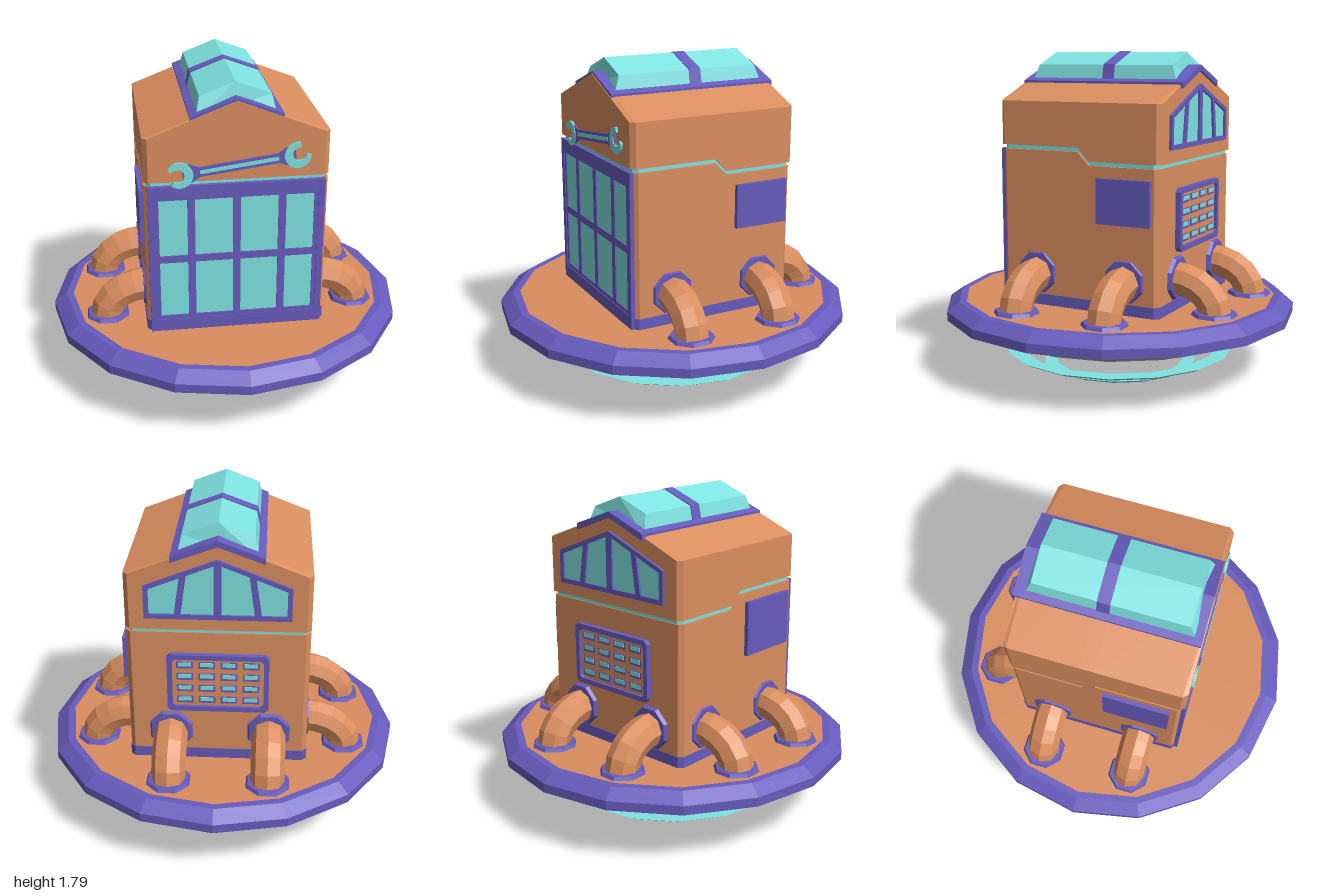
import * as THREE from 'three';

const mat = (color, extra = {}) => new THREE.MeshStandardMaterial({ color, flatShading: true, ...extra });

export function createModel() {
  const model = new THREE.Group();
  const orange = mat(0xdb8e5f), purple = mat(0x675bbd), teal = mat(0x7fe3e1);
  const hullMat = mat(0xdb8e5f, { flatShading: false });

  const add = (name, geo, material, parent = model) => {
    const mesh = new THREE.Mesh(geo, material);
    mesh.name = name;
    parent.add(mesh);
    return mesh;
  };
  const poly = (pts) => new THREE.Shape(pts.map(([x, y]) => new THREE.Vector2(x, y)));
  const rect = (x0, x1, y0, y1) => poly([[x0, y0], [x1, y0], [x1, y1], [x0, y1]]);
  // Flat plate between two z values, with optional holes
  const plate = (shape, z0, z1, holes = []) => {
    shape.holes = holes;
    return new THREE.ExtrudeGeometry(shape, { depth: z1 - z0, bevelEnabled: false, curveSegments: 10 }).translate(0, 0, z0);
  };
  const box = (x0, x1, y0, y1, z0, z1) =>
    new THREE.BoxGeometry(x1 - x0, y1 - y0, z1 - z0).translate((x0 + x1) / 2, (y0 + y1) / 2, (z0 + z1) / 2);
  const lathe = (pts) => new THREE.LatheGeometry(pts.map(([r, y]) => new THREE.Vector2(r, y)), 16);

  // Saucer base
  add('hull', lathe([[0, 0.115], [0.12, 0.12], [0.48, 0.168], [0.74, 0.23], [1, 0.32]]), hullMat);
  add('rim', lathe([[1, 0.32], [1, 0.37], [0.93, 0.42], [0.89, 0.42]]), purple);
  add('deck', lathe([[0.89, 0.42], [0, 0.42]]), orange);

  // Rings under the hull: inner radius, outer radius, height
  for (const [ri, ro, y, h] of [[0.7, 0.76, 0.222, 0.016], [0.57, 0.66, 0.088, 0.017], [0.37, 0.445, 0, 0.017]]) {
    add('hoverRing', lathe([[ri + 0.01, y], [ro - 0.03, y], [ro, y + h], [ri, y + h], [ri + 0.01, y]]), teal);
  }

  // House storey: section swept along z, chamfered corners, stepped seam towards the back
  const storey = (pts, half, width = 1) => {
    const stations = [-half, 0.025 - half, -0.07, 0, half - 0.025, half];
    const geo = new THREE.ExtrudeGeometry(poly(pts), { depth: 5, steps: 5, bevelEnabled: false });
    const p = geo.attributes.position;
    for (let i = 0; i < p.count; i++) {
      const k = Math.round(p.getZ(i)), y = p.getY(i);
      p.setZ(i, stations[k]);
      p.setX(i, p.getX(i) * width * (k === 0 || k === 5 ? 0.95 : 1));
      if (k <= 2 && y > 1.2 && y < 1.4) p.setY(i, y - 0.07);
    }
    geo.computeVertexNormals();
    return geo;
  };
  const W = 0.483;
  const block = (y0, y1) => [[-W, y0], [W, y0], [W, y1], [-W, y1]];
  add('walls', storey(block(0.42, 1.27), 0.472), orange);
  add('baseTrim', storey(block(0.42, 0.48), 0.475, 1.006), purple);
  add('seamBand', storey(block(1.255, 1.31), 0.466, 0.975), teal);
  add('gableRoof', storey([[-W, 1.292], [W, 1.292], [W, 1.53], [0, 1.71], [-W, 1.53]], 0.483), orange);

  // Skylight with sloped ends
  add('skylightFrame', plate(poly([[-0.24, 1.6], [0, 1.69], [0.24, 1.6], [0.24, 1.633], [0, 1.722], [-0.24, 1.633]]), -0.495, 0.479), purple);
  const skySection = (s = 0) => poly([[-0.21 - s, 1.61], [0.21 + s, 1.61], [0.185 + s, 1.72 + s], [0, 1.79 + s], [-0.185 - s, 1.72 + s]]);
  const sky = plate(skySection(), -0.45, 0.45);
  const sp = sky.attributes.position;
  for (let i = 0; i < sp.count; i++) if (sp.getY(i) > 1.7) sp.setZ(i, Math.sign(sp.getZ(i)) * 0.41);
  sky.computeVertexNormals();
  add('skylight', sky, teal);
  add('skylightBand', plate(skySection(0.004), -0.068, 0), purple);

  // Large front window
  const front = new THREE.Group();
  front.name = 'frontWindow';
  model.add(front);
  add('outerFrame', plate(rect(-0.465, 0.465, 0.42, 1.27), 0.46, 0.488, [rect(-0.43, 0.43, 0.49, 1.21)]), purple, front);
  const panes = [];
  for (const [x0, x1] of [[-0.41, -0.26], [-0.22, -0.02], [0.02, 0.22], [0.26, 0.41]])
    for (const [y0, y1] of [[0.51, 0.83], [0.87, 1.19]]) panes.push(rect(x0, x1, y0, y1));
  add('mullions', plate(rect(-0.435, 0.435, 0.485, 1.215), 0.46, 0.483, panes), purple, front);
  add('glass', box(-0.42, 0.42, 0.5, 1.2, 0.46, 0.476), teal, front);

  // Gable window at the back
  const gable = new THREE.Group();
  gable.name = 'gableWindow';
  model.add(gable);
  const outline = (d) => poly([[-0.38 + d, 1.29 + d], [0.38 - d, 1.29 + d], [0.38 - d, 1.47 - d], [0, 1.62 - d], [-0.38 + d, 1.47 - d]]);
  const topY = (x) => 1.597 - Math.abs(x) * 0.4;
  const gaps = [];
  for (const s of [-1, 1])
    for (const [a, b, c, d] of [[0.02, 0.19, 0.16, 0.02], [0.225, 0.355, 0.355, 0.195]])
      gaps.push(poly([[s * a, 1.315], [s * b, 1.315], [s * c, topY(c)], [s * d, topY(d)]]));
  add('gableFrame', plate(outline(0), -0.499, -0.47, gaps), purple, gable);
  add('gableGlass', plate(outline(0.015), -0.488, -0.47), teal, gable);

  // Vent panel at the back
  const vent = new THREE.Group();
  vent.name = 'ventPanel';
  model.add(vent);
  const octRect = (w, h, c) => poly([[-w + c, -h], [w - c, -h], [w, -h + c], [w, h - c], [w - c, h], [-w + c, h], [-w, h - c], [-w, -h + c]]);
  add('ventFrame', plate(octRect(0.27, 0.17, 0.02), -0.502, -0.46, [octRect(0.243, 0.143, 0.015)]), purple, vent);
  add('ventPlate', plate(octRect(0.255, 0.155, 0.015), -0.485, -0.46), orange, vent);
  for (let i = 0; i < 4; i++)
    for (let j = 0; j < 4; j++) {
      const x = (i - 1.5) * 0.117, y = (j - 1.5) * 0.07;
      add('slotFrame', box(x - 0.044, x + 0.044, y - 0.02, y + 0.02, -0.49, -0.47), purple, vent);
      add('slot', box(x - 0.035, x + 0.035, y - 0.007, y + 0.016, -0.493, -0.47), teal, vent);
    }
  vent.position.y = 0.91;

  // Side panels
  add('leftSidePanel', box(0.47, 0.508, 0.9, 1.14, -0.432, -0.123), purple);
  add('rightSidePanel', box(-0.506, -0.47, 0.92, 1.22, 0.045, 0.41), purple);

  // Bent pipes from wall to deck, built along +x and turned into place
  const arc = new THREE.CatmullRomCurve3([0, 1, 2, 3, 4].map((i) => {
    const a = (i / 4) * Math.PI / 2;
    return new THREE.Vector3(0.475 + 0.225 * Math.sin(a), 0.42 + 0.175 * Math.cos(a), 0);
  }));
  const pipeGeo = new THREE.TubeGeometry(arc, 5, 0.092, 8);
  const flangeGeo = new THREE.CylinderGeometry(0.115, 0.125, 0.02, 8).rotateY(Math.PI / 8);
  const addPipe = (turn, offset) => {
    const pipe = new THREE.Group();
    pipe.name = 'pipe';
    add('pipeBend', pipeGeo, orange, pipe);
    add('deckFlange', flangeGeo, purple, pipe).position.set(0.695, 0.429, 0);
    const wall = add('wallFlange', flangeGeo, purple, pipe);
    wall.position.set(0.484, 0.6, 0);
    wall.rotation.z = -Math.PI / 2;
    pipe.rotation.y = turn;
    pipe.position.set(...offset);
    model.add(pipe);
  };
  for (const z of [-0.275, 0.255]) {
    addPipe(0, [0, 0, z]);
    addPipe(Math.PI, [0, 0, z]);
  }
  for (const x of [-0.275, 0.255]) addPipe(Math.PI / 2, [x, 0, 0]);

  // Wrench emblem on the front gable
  const wrench = new THREE.Group();
  wrench.name = 'wrench';
  wrench.position.set(0.005, 1.37, 0);
  wrench.rotation.z = 0.13;
  model.add(wrench);
  add('wrenchHandle', plate(poly([[-0.29, -0.05], [-0.25, -0.05], [-0.2, -0.026], [0.21, -0.026], [0.26, -0.05], [0.3, -0.05],
    [0.3, 0.05], [0.26, 0.05], [0.21, 0.026], [-0.2, 0.026], [-0.25, 0.05], [-0.29, 0.05]]), 0.475, 0.492), purple, wrench);
  add('wrenchStripe', plate(rect(-0.2, 0.21, -0.01, 0.01), 0.475, 0.495), teal, wrench);
  for (const [x, turn] of [[-0.305, Math.PI + 0.1], [0.31, 0.55]]) {
    const jaw = new THREE.Shape();
    jaw.absarc(0, 0, 0.07, 0.7, Math.PI * 2 - 0.7, false);
    jaw.absarc(0.012, 0, 0.036, Math.PI * 2 - 0.75, 0.75, true);
    const mesh = add('wrenchJaw', plate(jaw, 0.475, 0.496), teal, wrench);
    mesh.position.x = x;
    mesh.rotation.z = turn;
  }
  return model;
}
